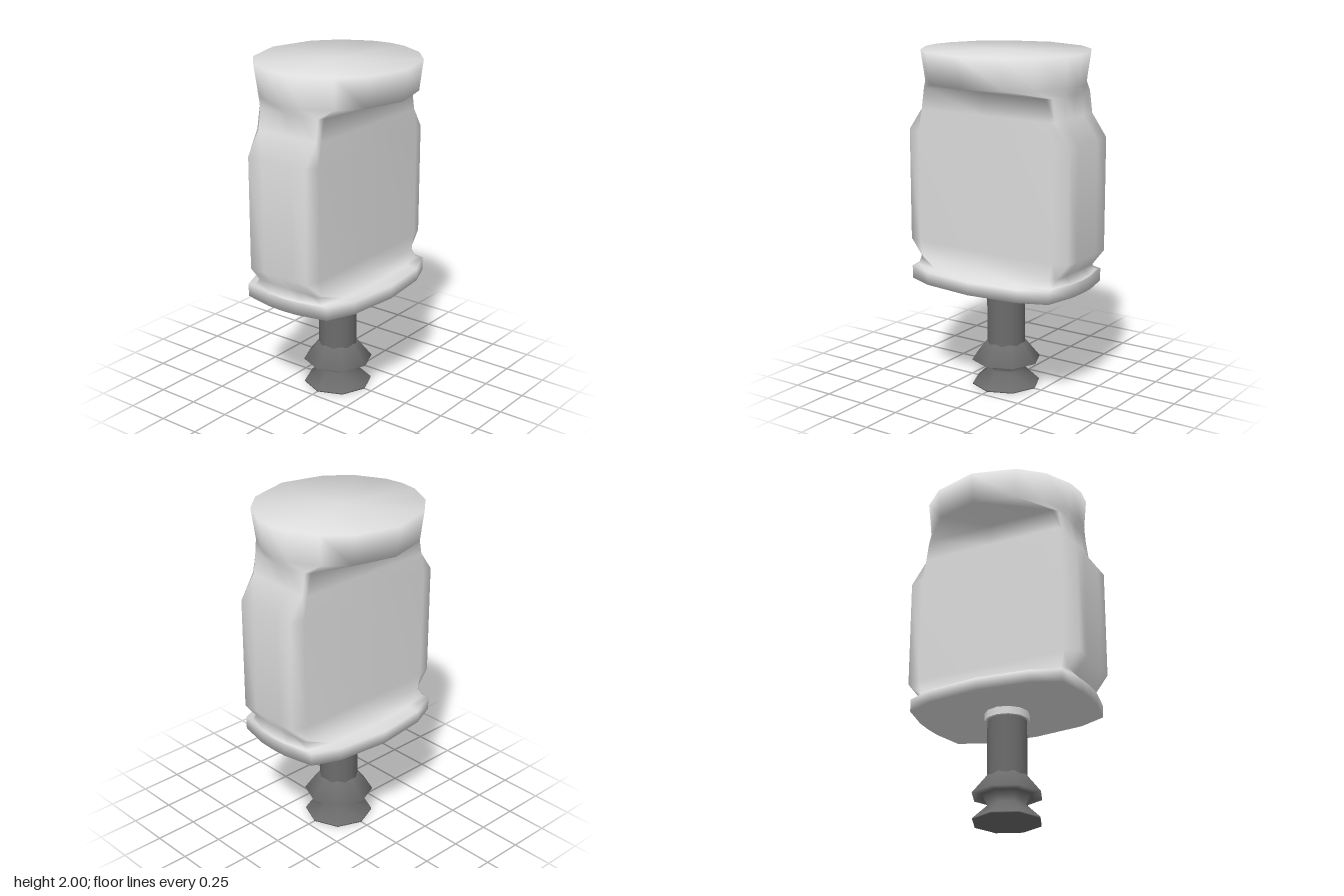
import * as THREE from 'three';

// Mirrors five quarter points [x, z] (from +x round to +z) into a closed ring of sixteen
function ring(y, q) {
  const mirror = q.slice(0, 4).reverse().map(([x, z]) => [-x, z]);
  const half = [...q, ...mirror];
  const back = half.slice(1, -1).reverse().map(([x, z]) => [x, -z]);
  return [...half, ...back].map(([x, z]) => [x, y, z]);
}

// Smooth closed skin over rings listed from bottom to top
function loft(rings) {
  const n = rings[0].length, last = rings.length - 1;
  const pos = rings.flat(2), index = [];
  const bottom = rings.length * n, top = bottom + 1;
  pos.push(0, rings[0][0][1], 0, 0, rings[last][0][1], 0);
  for (let i = 0; i < n; i++) {
    const j = (i + 1) % n;
    for (let r = 0; r < last; r++) {
      const a = r * n + i, b = r * n + j, c = b + n, d = a + n;
      index.push(a, d, c, a, c, b);
    }
    index.push(bottom, i, j, top, last * n + j, last * n + i);
  }
  const g = new THREE.BufferGeometry();
  g.setAttribute('position', new THREE.Float32BufferAttribute(pos, 3));
  g.setIndex(index);
  g.computeVertexNormals();
  return g;
}

function lathe(points, sides) {
  return new THREE.LatheGeometry(points.map(([r, y]) => new THREE.Vector2(r, y)), sides);
}

export function createModel() {
  const group = new THREE.Group();
  const shell = new THREE.MeshStandardMaterial({ name: 'light grey shell', color: 0xdcdcdc });
  const rubber = new THREE.MeshStandardMaterial({ name: 'dark grey rubber', color: 0x6c6c6c });
  const add = (name, geometry, material) => {
    const mesh = new THREE.Mesh(geometry, material);
    mesh.name = name;
    group.add(mesh);
  };

  // Housing: base flange, flat body with bevelled ends, and wide round head
  const flange = [[0.52, 0], [0.515, 0.1], [0.475, 0.285], [0.31, 0.355], [0, 0.39]];
  const body = [[0.545, 0], [0.545, 0.1], [0.545, 0.2], [0.46, 0.225], [0, 0.225]];
  add('housing', loft([
    ring(0.645, flange),
    ring(0.72, flange),
    ring(0.722, [[0.515, 0], [0.505, 0.1], [0.465, 0.24], [0.31, 0.28], [0, 0.29]]),
    ring(0.765, [[0.47, 0], [0.47, 0.1], [0.47, 0.2], [0.44, 0.225], [0, 0.225]]),
    ring(0.86, body),
    ring(1.52, body),
    ring(1.65, [[0.452, 0], [0.452, 0.1], [0.452, 0.2], [0.435, 0.225], [0, 0.225]]),
    ring(1.775, [[0.455, 0], [0.452, 0.1], [0.435, 0.2], [0.41, 0.225], [0, 0.225]]),
    ring(1.82, [[0.48, 0], [0.465, 0.11], [0.375, 0.265], [0.25, 0.38], [0, 0.445]]),
    ring(2, [[0.497, 0], [0.48, 0.115], [0.395, 0.28], [0.26, 0.4], [0, 0.473]]),
  ]), shell);

  // Collar where the stem enters the housing
  const collar = new THREE.CylinderGeometry(0.13, 0.13, 0.045, 12);
  collar.translate(0, 0.6225, 0);
  add('collar', collar, shell);

  // Stem
  const stem = new THREE.CylinderGeometry(0.114, 0.114, 0.36, 16);
  stem.translate(0, 0.43, 0);
  add('stem', stem, rubber);

  // Two-stage bellows cup
  add('bellowsCup', lathe([
    [0, 0], [0.202, 0], [0.202, 0.008], [0.11, 0.095], [0.148, 0.152],
    [0.207, 0.154], [0.114, 0.27], [0, 0.27],
  ], 8), rubber);

  return group;
}
